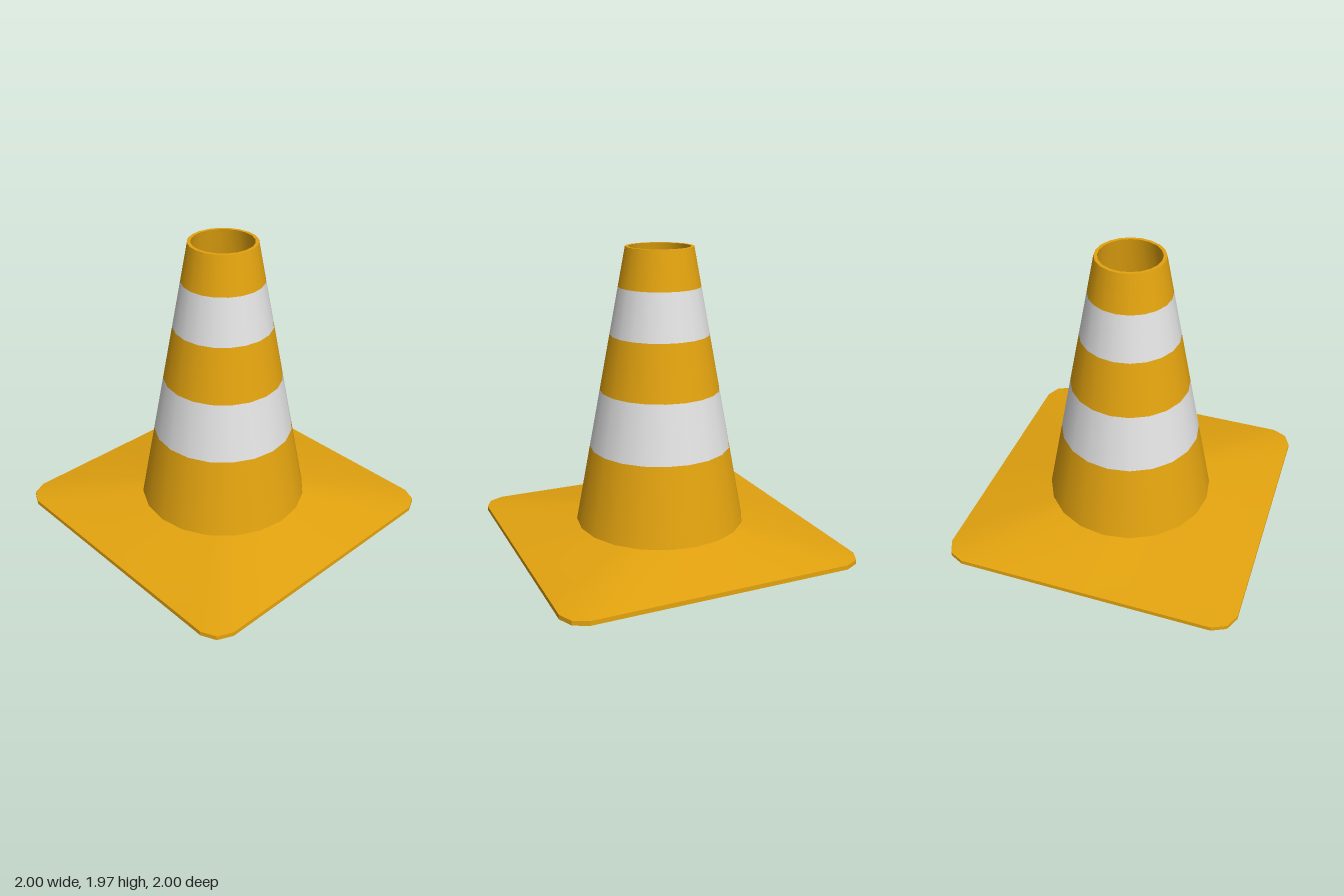
import * as THREE from 'three';

const SIDES = 20;
const STEP = (Math.PI * 2) / SIDES;
const BASE_R = 0.567, TOP_R = 0.222, BASE_Y = 0.13, TOP_Y = 1.97;

// Outer radius of the cone wall at a height
const wallRadius = (y) => THREE.MathUtils.mapLinear(y, BASE_Y, TOP_Y, BASE_R, TOP_R);

// Angles of the cone facets plus the three points of every rounded corner
const angles = [];
for (let i = 0; i < SIDES; i++) angles.push(i * STEP);
for (let q = 0; q < 4; q++) {
  for (const a of [Math.atan(0.86), Math.PI / 4, Math.atan(1 / 0.86)]) angles.push(q * Math.PI / 2 + a);
}
angles.sort((a, b) => a - b);

// Square outline with clipped corners, as a radius by angle
function squareRadius(t) {
  const s = Math.abs(Math.sin(t)), c = Math.abs(Math.cos(t));
  const hi = Math.max(s, c), lo = Math.min(s, c);
  return Math.min(1 / hi, 0.1337 / (0.095 * hi + 0.045 * lo));
}

// Faceted circle, matching the cone's sides
const circleRadius = (r) => (t) => r * Math.cos(STEP / 2) / Math.cos((t % STEP) - STEP / 2);

// Strip of faces between two closed loops, each { radius(t), y }
function strip(lower, upper) {
  const n = angles.length, pos = [], index = [];
  for (const loop of [lower, upper]) {
    for (const t of angles) {
      const r = loop.radius(t);
      pos.push(Math.sin(t) * r, loop.y, Math.cos(t) * r);
    }
  }
  for (let i = 0; i < n; i++) {
    const j = (i + 1) % n;
    index.push(i, j, n + j, i, n + j, n + i);
  }
  const geo = new THREE.BufferGeometry();
  geo.setAttribute('position', new THREE.Float32BufferAttribute(pos, 3));
  geo.setIndex(index);
  geo.computeVertexNormals();
  return geo;
}

export function createModel() {
  const orange = new THREE.MeshStandardMaterial({ color: 0xe3a30f });
  orange.name = 'safety orange';
  const white = new THREE.MeshStandardMaterial({ color: 0xe2e2e2 });
  white.name = 'reflective white';

  const model = new THREE.Group();
  model.name = 'trafficCone';
  const add = (parent, name, geo, mat) => {
    const mesh = new THREE.Mesh(geo, mat);
    mesh.name = name;
    parent.add(mesh);
  };
  const lathe = (...pts) => new THREE.LatheGeometry(pts.map(([r, y]) => new THREE.Vector2(r, y)), SIDES);

  // Tapered wall, split into alternating bands
  const cone = new THREE.Group();
  cone.name = 'cone';
  const levels = [BASE_Y, 0.65, 1.035, 1.405, 1.715, TOP_Y];
  for (let i = 0; i < levels.length - 1; i++) {
    const [a, b] = [levels[i], levels[i + 1]];
    const striped = i % 2 === 1;
    add(cone, striped ? 'whiteBand' : 'orangeBand',
      lathe([wallRadius(a), a], [wallRadius(b), b]), striped ? white : orange);
  }

  // Open top rim and hollow inside
  add(cone, 'topRim', lathe([TOP_R, TOP_Y], [0.2, TOP_Y]), orange);
  add(cone, 'innerWall', lathe([0.2, TOP_Y], [0.55, 0.1]), orange);
  model.add(cone);

  // Sloping square foot, hollow beneath
  const foot = new THREE.Group();
  foot.name = 'foot';
  const edgeTop = { radius: squareRadius, y: 0.03 };
  const edgeBottom = { radius: squareRadius, y: 0 };
  add(foot, 'footTop', strip(edgeTop, { radius: circleRadius(BASE_R), y: BASE_Y }), orange);
  const edge = strip(edgeBottom, edgeTop).toNonIndexed();
  edge.computeVertexNormals();
  add(foot, 'footEdge', edge, orange);
  add(foot, 'footUnderside', strip({ radius: circleRadius(0.55), y: 0.1 }, edgeBottom), orange);
  model.add(foot);

  return model;
}
